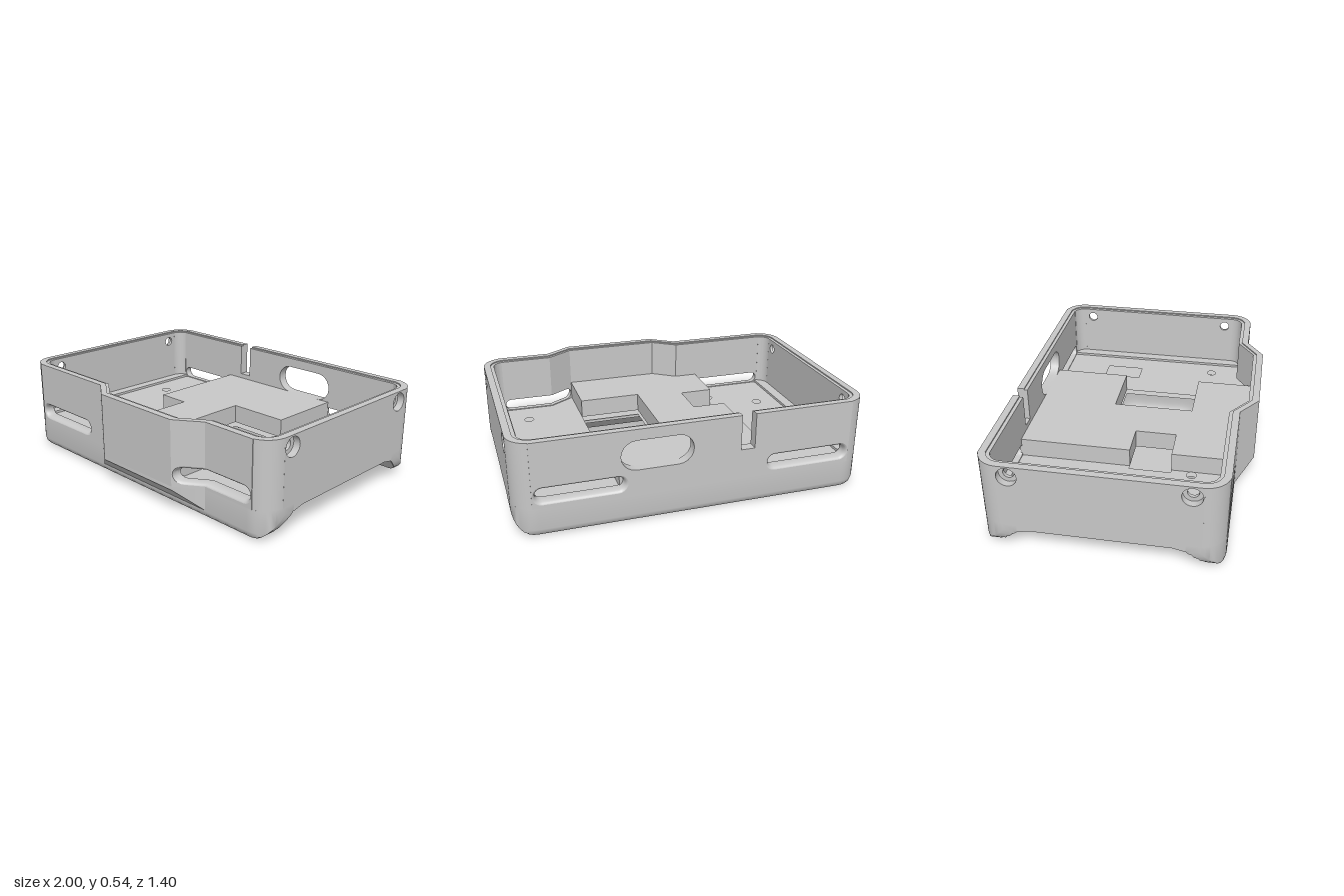
import * as THREE from 'three';
import { mergeGeometries, mergeVertices, toCreasedNormals } from 'three/addons/utils/BufferGeometryUtils.js';

const BASE = 0.17, FLOOR = 0.2, TOP = 0.543, STEP = 0.536, UNDER = 0.14, R = 0.13;

export function createModel() {
  const group = new THREE.Group();
  group.name = 'enclosureTray';
  const grey = new THREE.MeshStandardMaterial({ color: 0xc8c8c8 });
  grey.name = 'plasticGrey';

  function add(name, geo) {
    const mesh = new THREE.Mesh(toCreasedNormals(geo, 0.6), grey);
    mesh.name = name;
    group.add(mesh);
  }
  const v2 = (pts) => pts.map(([x, y]) => new THREE.Vector2(x, y));
  function extrude(pts, holes, depth) {
    const shape = new THREE.Shape(v2(pts));
    for (const h of holes) shape.holes.push(new THREE.Path(v2(h)));
    return new THREE.ExtrudeGeometry(shape, { depth, bevelEnabled: false });
  }
  // Horizontal slab from a plan outline of [x, z] points
  function slab(pts, holes, y0, y1) {
    const flip = (l) => l.map(([x, z]) => [x, -z]);
    return extrude(flip(pts), holes.map(flip), y1 - y0).rotateX(-Math.PI / 2).translate(0, y0, 0);
  }
  // Lower the underside of a slab by a rule of z
  function shapeUnderside(geo, limit, rule) {
    const p = geo.attributes.position;
    for (let i = 0; i < p.count; i++) if (p.getY(i) < limit) p.setY(i, rule(p.getZ(i)));
    return geo;
  }
  const rect = (x0, x1, y0, y1) => [[x0, y0], [x1, y0], [x1, y1], [x0, y1]];
  const arc = (cx, cy, r, a0, a1, n = 10) => Array.from({ length: n + 1 }, (_, i) => {
    const a = a0 + (a1 - a0) * i / n;
    return [cx + r * Math.cos(a), cy + r * Math.sin(a)];
  });
  const circle = (cx, cy, r) => arc(cx, cy, r, 0, Math.PI * 2, 24).slice(0, -1);
  const H = Math.PI / 2;
  // Stadium outline, counter-clockwise, with one extra point on each straight
  const stadium = (x0, x1, cy, r, xm = (x0 + x1) / 2) => [
    [xm, cy - r], ...arc(x1 - r, cy, r, -H, H), [xm, cy + r], ...arc(x0 + r, cy, r, H, 3 * H)];

  // Skin over a series of closed rings, optionally capped
  function loft(rings, flip, caps) {
    const n = rings[0].length, idx = [];
    const tri = (a, b, c) => (flip ? idx.push(a, c, b) : idx.push(a, b, c));
    for (let k = 0; k < rings.length - 1; k++) for (let j = 0; j < n; j++) {
      const a = k * n + j, b = k * n + (j + 1) % n;
      tri(a, b, a + n);
      tri(b, b + n, a + n);
    }
    const e = (rings.length - 1) * n;
    if (caps) for (let j = 1; j < n - 1; j++) {
      tri(0, j + 1, j);
      tri(e, e + j, e + j + 1);
    }
    const geo = new THREE.BufferGeometry();
    geo.setAttribute('position', new THREE.Float32BufferAttribute(rings.flat(2), 3));
    geo.setIndex(idx);
    return mergeVertices(geo);
  }

  // Floor: lower plate in strips that start the curve to the feet, then an upper plate with recesses
  const screws = [[-0.74, -0.31], [-0.74, 0.2], [-0.45, 0.36], [0.76, 0.36]];
  const screwHoles = screws.map(([x, z]) => circle(x, z, 0.029));
  const opening = rect(0.06, 0.43, -0.18, 0.3);
  add('floorLower', slab(rect(-1, 1, -0.425, 0.325), [...screwHoles.slice(0, 2), opening], UNDER, BASE));
  for (const s of [1, -1]) {
    const strip = slab(rect(-1, 1, -0.05 + s * 0.375, -0.05 + s * 0.445), s > 0 ? screwHoles.slice(2) : [], UNDER, BASE);
    add('floorStrip', shapeUnderside(strip, 0.15, (z) => UNDER - 0.015 * (Math.abs(z + 0.05) - 0.375) / 0.07));
  }
  add('floorUpper', slab([[-0.95, -0.65], [0.95, -0.65], [0.95, 0.55], [0.58, 0.55], [0.43, 0.645],
    [-0.14, 0.645], [-0.28, 0.55], [-0.95, 0.55]],
  [...screwHoles, opening, rect(0.61, 0.74, -0.365, -0.13), rect(-0.445, -0.22, 0, 0.24)], BASE, FLOOR));
  for (const [x, z] of screws.slice(0, 2))
    add('screwCollar', slab(circle(x, z, 0.055), [circle(x, z, 0.038)], UNDER - 0.003, UNDER));

  // Raised platform with the opening and the open-sided pocket
  add('platform', slab([[-0.42, -0.65], [0.43, -0.65], [0.43, -0.18], [0.06, -0.18], [0.06, 0.3],
    [0.43, 0.3], [0.43, 0.645], [-0.14, 0.645], [-0.28, 0.545], [-0.42, 0.545], [-0.42, 0.24],
    [-0.22, 0.24], [-0.22, 0], [-0.42, 0]], [], FLOOR, 0.31));

  // Foot rails along front and back, rounded up and in at both ends
  const foot = [[0.445, 0.125], [0.48, 0.11], [0.52, 0.084], [0.55, 0.055], [0.573, 0.025], [0.59, 0.006],
    [0.61, 0], [0.632, 0.008], [0.645, 0.024], [0.65, 0.045], [0.65, BASE], [0.445, BASE]];
  const angles = Array.from({ length: 9 }, (_, i) => i * H / 8);
  const stations = [...angles.slice().reverse().map((a) => [-1, a]), ...angles.map((a) => [1, a])];
  for (const s of [1, -1]) {
    const rings = stations.map(([sx, a]) => {
      const lift = R * (1 - Math.cos(a)), k = (0.205 - lift) / 0.205;
      return foot.map(([w, y]) => [sx * (0.87 + R * Math.sin(a)), Math.max(y, lift),
        -0.05 + s * (0.445 + (w - 0.445) * k)]);
    });
    add(s > 0 ? 'frontFootRail' : 'backFootRail', loft(rings, s > 0, true));
  }

  // Rounded wall corners, outer skin and lower inner step
  const a0 = Math.asin(0.01 / R), a1 = H - Math.asin(0.03 / R);
  for (const sx of [1, -1]) for (const sz of [1, -1])
    for (const [r0, r1, top] of [[0.13, 0.09, TOP], [0.09, 0.07, STEP]]) {
      const pts = [...arc(0, 0, r0, a0, a1), ...arc(0, 0, r1, a1, a0)]
        .map(([x, z]) => [sx * (0.87 + x), -0.05 + sz * (0.52 + z)]);
      add('wallCorner', slab(pts, [], BASE, top));
    }

  // Side walls with counterbored screw holes, and the ledges at their feet
  for (const sx of [1, -1]) {
    for (const [r, top, x0, x1] of [[0.054, TOP, 0.96, 1], [0.03, STEP, 0.94, 0.96]]) {
      const geo = extrude(rect(-0.48, 0.58, BASE, top), [circle(-0.42, 0.48, r), circle(0.52, 0.48, r)], x1 - x0);
      add('sideWall', geo.rotateY(H).translate(sx > 0 ? x0 : -x1, 0, 0));
    }
    add('sideLedge', slab(rect(sx * 0.91 - 0.035, sx * 0.91 + 0.035, -0.645, 0.545), [], FLOOR, FLOOR + 0.015));
  }

  // Forward bulge of the front wall as a function of x
  const bulge = (x) => 0.1 * Math.max(0, Math.min(1, (x + 0.28) / 0.14, (0.58 - x) / 0.15));
  function panel(name, pts, holes, z0, depth, offset = () => 0) {
    const geo = extrude(pts, holes, depth).translate(0, 0, z0);
    const p = geo.attributes.position;
    for (let i = 0; i < p.count; i++) p.setZ(i, p.getZ(i) + offset(p.getX(i)));
    add(name, geo);
  }
  const SY = 0.24, SR = 0.035, FL = 0.018, X0 = 0.41, X1 = 0.88;

  // Back and front walls, outer layer then inner layer
  for (const [o, top, d, zb, zf] of [[FL, TOP, 0.04, -0.7, 0.56], [0, STEP, 0.02, -0.66, 0.54]]) {
    const r = SR + o;
    const leftSlot = stadium(-X1 - o, -X0 + o, SY, r);
    panel('backWall', [[-0.9, BASE], [0.9, BASE], [0.9, top], [-0.24, top], [-0.24, 0.34], [-0.32, 0.34],
      [-0.32, top], [-0.9, top]],
    [leftSlot, stadium(X0 - o, X1 + o, SY, r), stadium(0.03, 0.43, 0.395, 0.085)], zb, d);
    panel('frontWall', rect(-0.9, -0.28, BASE, top), [leftSlot], zf, d);
    panel('bulgeSlope', rect(-0.28, -0.14, BASE, top), [], zf, d, bulge);
    panel('bulgeFace', rect(-0.14, 0.43, BASE, top), [], zf, d, bulge);
    panel('bulgeSlope', [[0.58, top], [0.43, top], [0.43, BASE], [0.58, BASE], [0.58, SY - r],
      ...arc(0.435 + r, SY, r, 3 * H, H), [0.58, SY + r]], [], zf, d, bulge);
    panel('frontWall', [[0.58, BASE], [0.9, BASE], [0.9, top], [0.58, top], [0.58, SY + r],
      ...arc(X1 + o - r, SY, r, H, -H), [0.58, SY - r]], [], zf, d);
  }

  // Rounded lips of the ventilation slots
  function slotLip(x0, x1, grow, front) {
    const rings = [0, 1, 2, 3, 4, 5].map((k) => {
      const a = k * H / 5, o = FL * (1 - Math.sin(a)), depth = 0.04 * (1 - Math.cos(a));
      return stadium(x0 - o * grow, x1 + o, SY, SR + o, 0.58 * Math.sign(x0))
        .map(([x, y]) => [x, y, front ? 0.6 - depth + bulge(x) : -0.7 + depth]);
    });
    add('slotLip', loft(rings, !front, false));
  }
  slotLip(-X1, -X0, 1, true);
  slotLip(0.435, X1, 0, true);
  slotLip(-X1, -X0, 1, false);
  slotLip(X0, X1, 1, false);

  // Base of the bulge with its slanted underside
  const base = slab([[-0.28, 0.6], [0.58, 0.6], [0.43, 0.7], [-0.14, 0.7]], [], 0.05, BASE);
  add('bulgeBase', shapeUnderside(base, 0.1, (z) => z - 0.55));

  // Fine tread marks on the underside
  const marks = [];
  for (let i = 0; i < 15; i++) for (let j = 0; j < 7; j++) {
    const x = -0.84 + i * 0.12, z = -0.42 + j * 0.11 + (i % 2) * 0.03;
    if (x > -0.03 && x < 0.5 && z > -0.26 && z < 0.38) continue;
    if (screws.some(([a, b]) => Math.hypot(a - x, b - z) < 0.11)) continue;
    marks.push(new THREE.BoxGeometry(0.075, 0.002, 0.008).translate(x, UNDER - 0.001, z));
    marks.push(new THREE.BoxGeometry(0.008, 0.002, 0.04).translate(x + 0.0335, UNDER - 0.001, z + 0.024));
  }
  add('treadMarks', mergeGeometries(marks));

  return group;
}
